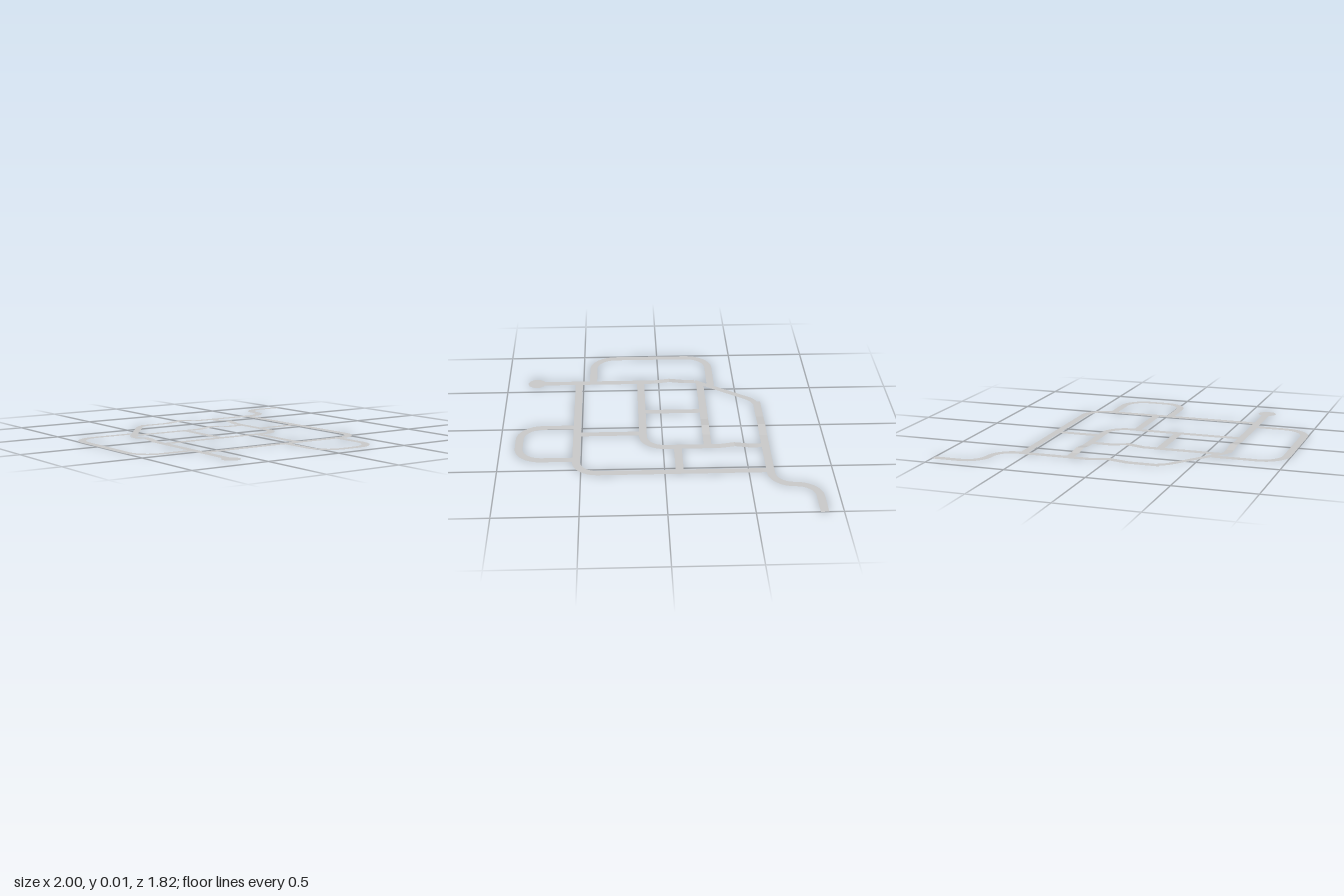
import * as THREE from 'three';

const WIDTH = 0.048;
const ROUND = 0.13;   // length of the tangent at a rounded corner
const HUMP = 0.011;   // rise of the gentle humps
const material = new THREE.MeshStandardMaterial({ color: 0xcccccc, side: THREE.DoubleSide, flatShading: true });

// Turn corner points [x, z, tangent, y] into a centre line with rounded bends
function centreLine(corners) {
  const v = corners.map(([x, z, , y = 0]) => new THREE.Vector3(x, y, z));
  const line = [];
  v.forEach((p, i) => {
    const t = corners[i][2] || 0;
    if (!t) { line.push(p); return; }
    const inDir = v[i - 1].clone().sub(p).normalize();
    const outDir = v[i + 1].clone().sub(p).normalize();
    const at = (d, s) => p.clone().addScaledVector(d, s);
    const bend = new THREE.CubicBezierCurve3(at(inDir, t), at(inDir, t * 0.448), at(outDir, t * 0.448), at(outDir, t));
    for (const q of bend.getPoints(8)) {
      if (!line.length || line[line.length - 1].distanceTo(q) > 1e-3) line.push(q);
    }
  });
  return line;
}

// Flat strip of constant width along a centre line
function road(name, corners, width = WIDTH) {
  const line = centreLine(corners);
  const pos = [], index = [];
  const side = (a, b) => new THREE.Vector3(a.z - b.z, 0, b.x - a.x).normalize();
  line.forEach((p, i) => {
    const a = side(line[Math.max(i - 1, 0)], line[Math.max(i, 1)]);
    const b = i < line.length - 1 ? side(p, line[i + 1]) : a;
    const n = a.clone().add(b).normalize();
    n.multiplyScalar(width / 2 / n.dot(a));
    pos.push(p.x + n.x, p.y, p.z + n.z, p.x - n.x, p.y, p.z - n.z);
    if (i) {
      const k = 2 * i;
      index.push(k - 2, k, k - 1, k - 1, k, k + 1);
    }
  });
  const geo = new THREE.BufferGeometry();
  geo.setAttribute('position', new THREE.Float32BufferAttribute(pos, 3));
  geo.setIndex(index);
  geo.computeVertexNormals();
  const mesh = new THREE.Mesh(geo, material);
  mesh.name = name;
  return mesh;
}

export function createModel() {
  const group = new THREE.Group();
  group.name = 'roadNetwork';

  // Main streets, some with a gentle hump
  group.add(
    road('westStreet', [[-0.617, -0.24], [-0.617, -0.17], [-0.617, -0.07, 0, HUMP], [-0.617, 0.03], [-0.617, 0.79]]),
    road('northStreet', [[-0.32, -0.63], [-0.12, -0.63], [0, -0.63, 0, HUMP], [0.12, -0.63],
      [0.70, -0.63, ROUND], [0.70, -0.89, ROUND], [1, -0.89]]),
    road('eastStreet', [[0.538, -0.607], [0.538, 0.53, ROUND], [-0.593, 0.53]]),
    road('innerStreet', [[0.245, -0.607], [0.245, -0.53], [0.245, -0.44, 0, HUMP], [0.245, -0.35],
      [0.245, 0.12, ROUND], [-0.593, 0.12]])
  );

  // Narrower diagonal joining the west and north streets
  group.add(road('diagonalStreet', [[-0.617, -0.24], [-0.325, -0.63, 0.07], [-0.24, -0.63]], 0.04));

  // Outer loops
  group.add(
    road('westLoop', [[-0.555, -0.345], [-0.975, -0.345, ROUND + 0.02], [-0.975, 0.435, ROUND + 0.02], [-0.641, 0.435]]),
    road('southLoop', [[-0.018, 0.554], [-0.018, 0.885, ROUND + 0.01], [0.378, 0.885, ROUND + 0.01], [0.378, 0.554]])
  );

  // Short connecting streets
  group.add(
    road('northLink', [[-0.593, -0.275], [-0.1, -0.275], [0, -0.275, 0, HUMP], [0.1, -0.275], [0.221, -0.275]]),
    road('eastLink', [[0.269, -0.09], [0.514, -0.09]]),
    road('middleLink', [[-0.205, -0.251], [-0.205, 0.096]]),
    road('southLink', [[0.073, 0.144], [0.073, 0.506]])
  );

  // Turning circle at the dead end
  const circle = new THREE.Mesh(new THREE.CircleGeometry(0.059, 10), material);
  circle.name = 'turningCircle';
  circle.rotation.x = -Math.PI / 2;
  circle.rotation.z = Math.PI / 10;
  circle.position.set(-0.617, 0, 0.812);
  group.add(circle);

  return group;
}
